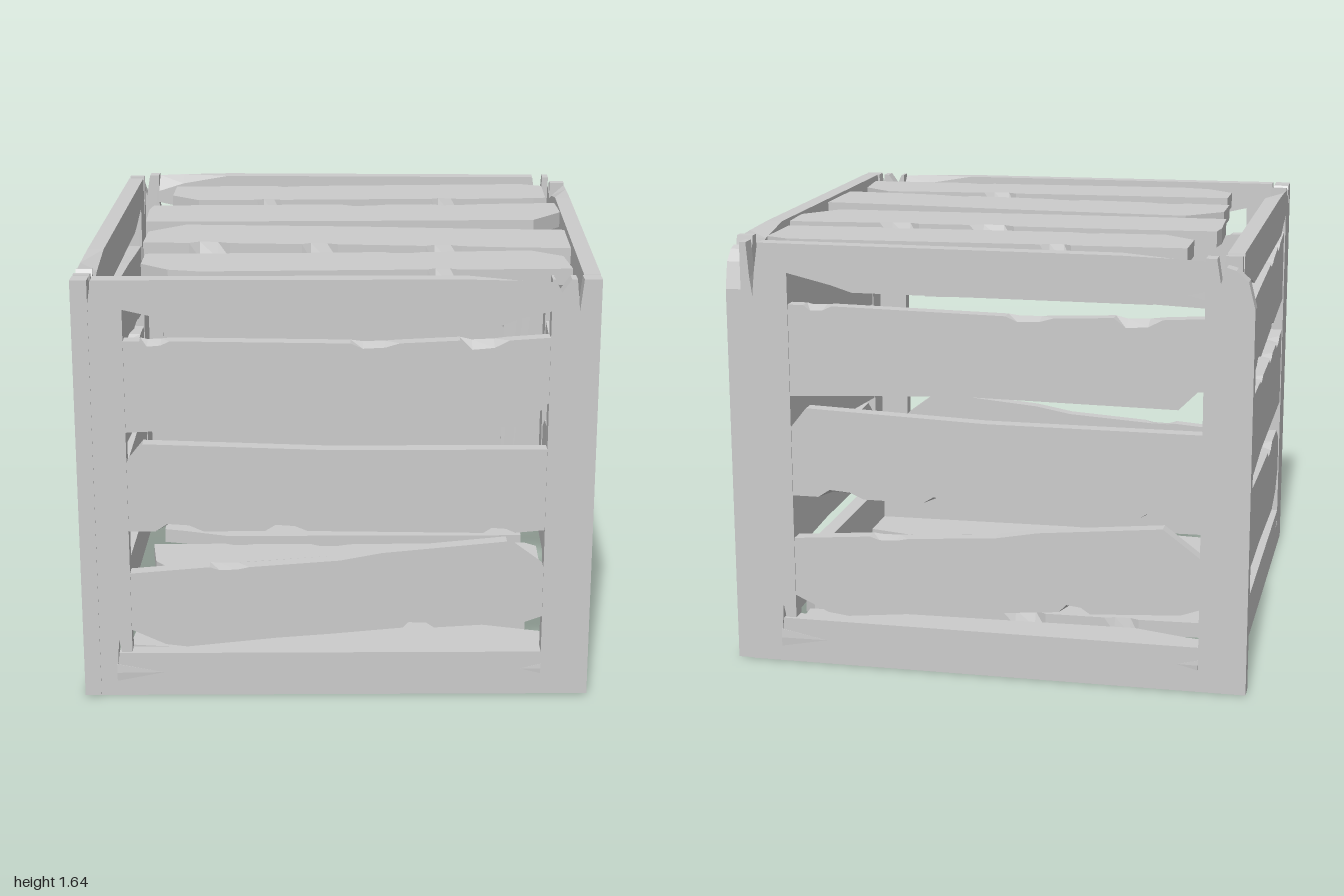
import * as THREE from 'three';

const material = new THREE.MeshStandardMaterial({ color: 0xcccccc, flatShading: true });
const T = 0.062; // board thickness

// Board from an outline of [x, y, backShift]; backShift slants a chipped edge through the thickness
function board(name, points, depth = T) {
  const shape = new THREE.Shape(points.map(([x, y]) => new THREE.Vector2(x, y)));
  const geometry = new THREE.ExtrudeGeometry(shape, { depth, bevelEnabled: false });
  geometry.translate(0, 0, -depth);
  const pos = geometry.attributes.position;
  for (let i = 0; i < pos.count; i++) {
    if (pos.getZ(i) > -depth / 2) continue;
    const hit = points.find(p => p[2] && Math.abs(p[0] - pos.getX(i)) < 1e-4 && Math.abs(p[1] - pos.getY(i)) < 1e-4);
    if (hit) pos.setY(i, pos.getY(i) + hit[2]);
  }
  geometry.computeVertexNormals();
  const mesh = new THREE.Mesh(geometry, material);
  mesh.name = name;
  return mesh;
}

// Small chipped dent along an edge, running from x0 to x1; dir -1 bites down, +1 bites up
function chip(x0, x1, y, size, dir) {
  const w = x1 - x0, d = dir * size;
  return [[x0, y], [x0 + w * 0.25, y + d, -d * 0.7], [x0 + w * 0.7, y + d * 0.8, -d * 0.6], [x1, y]];
}

// Flat splinter lying on a board face
function splinter(x, y, length, width, dir) {
  const geometry = new THREE.ConeGeometry(width / 2, length, 6);
  geometry.scale(1, 1, 0.12);
  geometry.rotateZ(-dir * Math.PI / 2);
  const mesh = new THREE.Mesh(geometry, material);
  mesh.position.set(x + dir * length / 2, y, 0);
  mesh.name = 'splinter';
  return mesh;
}

// Slats between the posts, listed clockwise from the left end
const slatsA = [
  [[-0.75, 1.42], ...chip(-0.69, -0.58, 1.42, 0.02, -1), ...chip(0.08, 0.26, 1.41, 0.02, -1),
    ...chip(0.48, 0.66, 1.42, 0.035, -1), [0.81, 1.43], [0.81, 1.18], [0.72, 1.09], [-0.1, 1.1], [-0.75, 1.07]],
  [[-0.75, 0.95], [-0.69, 1.025], [0, 1], [0.81, 1], [0.81, 0.68], ...chip(0.58, 0.7, 0.67, 0.02, 1).reverse(),
    ...chip(-0.24, -0.08, 0.68, 0.025, 1).reverse(), ...chip(-0.65, -0.47, 0.68, 0.03, 1).reverse(), [-0.75, 0.68]],
  [[-0.75, 0.51], ...chip(-0.45, -0.3, 0.535, 0.012, -1), [0.04, 0.56], [0.2, 0.59], [0.67, 0.635], [0.81, 0.53],
    [0.81, 0.33], [0.74, 0.305], ...chip(0.28, 0.4, 0.285, 0.03, 1).reverse(), [0, 0.26], [-0.2, 0.245],
    [-0.54, 0.21], [-0.62, 0.22, 0.03], [-0.75, 0.28]],
];
const slatsB = [
  [[-0.75, 1.37], [-0.5, 1.385], [-0.3, 1.4], ...chip(0.2, 0.35, 1.42, 0.015, -1), ...chip(0.5, 0.62, 1.44, 0.02, -1),
    [0.79, 1.46], [0.8, 1.16], ...chip(0.3, 0.4, 1.135, 0.015, 1).reverse(),
    ...chip(-0.28, -0.12, 1.105, 0.02, 1).reverse(), ...chip(-0.56, -0.4, 1.085, 0.03, 1).reverse(), [-0.75, 1.07]],
  [[-0.75, 1], ...chip(-0.62, -0.48, 1, 0.02, -1), ...chip(-0.12, 0, 1, 0.015, -1), ...chip(0.25, 0.4, 1.005, 0.02, -1),
    ...chip(0.55, 0.72, 1.01, 0.025, -1), [0.81, 1.02], [0.81, 0.69], [0, 0.69], [-0.75, 0.63]],
  [[-0.75, 0.55], [-0.65, 0.63], [0, 0.6], ...chip(0.3, 0.5, 0.59, 0.03, -1), [0.69, 0.59], [0.8, 0.53],
    [0.81, 0.38], [0.72, 0.3], [0.57, 0.26], [0, 0.285], [-0.55, 0.285], [-0.62, 0.3], [-0.75, 0.33]],
];

// One side: two posts, two rails and three slats, outer face on local z = 0
function sidePanel(name, slats, rounded) {
  const panel = new THREE.Group();
  panel.name = name;
  panel.add(board('leftPost', [[-0.93, 0.01], [-0.93, 1.65], [-0.905, 1.65], [-0.895, 1.52], [-0.885, 1.45],
    [-0.875, 1.55], [-0.86, 1.65], [-0.75, 1.65], [-0.75, 0.19], [-0.79, 0.19], [-0.8, 0.24], [-0.815, 0.01]]));
  const end = rounded
    ? [[0.85, 1.65], [0.865, 1.56], [0.885, 1.62], [0.92, 1.61], [0.965, 1.57], [0.99, 1.47]]
    : [[0.82, 1.65], [0.845, 1.6], [0.88, 1.65], [0.9, 1.65], [0.912, 1.53], [0.925, 1.65], [0.99, 1.65]];
  panel.add(board('rightPost', [[0.81, 0.01], [0.81, 1.65], ...end, [0.99, 0.01]]));
  panel.add(board('topRail', [[-0.75, 1.54], [-0.75, 1.65], [0.5, 1.65], [0.7, 1.645, -0.03], [0.81, 1.64, -0.06],
    [0.81, 1.53], [0.7, 1.505], [0.62, 1.475], [-0.5, 1.475, 0.01], [-0.58, 1.5]]));
  panel.add(board('bottomRail', [[-0.82, 0.01], [-0.8, 0.185], [0.81, 0.185], [0.81, 0.01]]));
  panel.add(splinter(-0.81, 0.105, 0.18, 0.08, 1), splinter(0.81, 0.115, 0.08, 0.045, -1));
  slats.forEach((points, i) => {
    const slat = board('slat' + (i + 1), points, T - 0.008);
    slat.position.z = -0.004;
    panel.add(slat);
  });
  return panel;
}

// Horizontal planks, listed as [x, -z]
const lidPlanks = [
  [[-0.71, 0.74], ...chip(-0.28, -0.16, 0.765, 0.02, -1), [0.8, 0.83], [0.89, 0.79], [0.89, 0.54], [0.84, 0.53],
    ...chip(0.4, 0.52, 0.505, 0.015, 1).reverse(), ...chip(-0.34, -0.24, 0.47, 0.015, 1).reverse(), [-0.59, 0.455], [-0.71, 0.55]],
  [[-0.78, 0.26], [-0.77, 0.34], [-0.5, 0.36], ...chip(0.02, 0.2, 0.38, 0.025, -1), ...chip(0.4, 0.56, 0.395, 0.02, -1),
    [0.75, 0.42], [0.92, 0.43], [0.93, 0.25], [0.81, 0.1], [0, 0.06], [-0.77, 0.03]],
  [[-0.74, -0.15], [-0.6, -0.02], [0.1, -0.04], [0.6, -0.07], [0.92, -0.08], [0.92, -0.4], [0.66, -0.39],
    ...chip(0.36, 0.5, -0.375, 0.02, 1).reverse(), ...chip(-0.12, 0.02, -0.355, 0.02, 1).reverse(),
    ...chip(-0.56, -0.4, -0.345, 0.025, 1).reverse(), [-0.74, -0.34]],
  [[-0.71, -0.53], [0, -0.495], ...chip(0.2, 0.34, -0.48, 0.02, -1), [0.76, -0.44], [0.88, -0.53], [0.9, -0.73],
    ...chip(0.36, 0.48, -0.755, 0.02, 1).reverse(), [-0.48, -0.805], [-0.6, -0.78], [-0.71, -0.69]],
];
const floorPlanks = [
  [[-0.79, 0.62], [-0.79, 0.83], [-0.7, 0.86], [-0.56, 0.89], [0.82, 0.82], [0.83, 0.58], [-0.5, 0.54], [-0.7, 0.6]],
  [[-0.79, 0.23], [-0.82, 0.43], ...chip(-0.5, -0.36, 0.445, 0.015, -1), ...chip(-0.12, 0.06, 0.45, 0.025, -1),
    ...chip(0.5, 0.64, 0.475, 0.02, -1), [0.84, 0.49], [0.89, 0.45], [0.89, 0.17], [0.2, 0.12], [-0.7, 0.12]],
  [[-0.87, -0.26], [-0.86, 0.06], [-0.3, 0.04], [0.73, -0.01], [0.79, -0.07], [0.79, -0.33], [0, -0.31], [-0.74, -0.27]],
  [[-0.8, -0.66], [-0.79, -0.52], [-0.66, -0.365], ...chip(-0.4, -0.28, -0.385, 0.02, -1),
    ...chip(0, 0.16, -0.405, 0.025, -1), [0.6, -0.43], [0.88, -0.5], [0.88, -0.7], [0, -0.72], [-0.7, -0.67]],
];

function planks(name, list, topY) {
  const group = new THREE.Group();
  group.name = name;
  list.forEach((points, i) => group.add(board(name + 'Plank' + (i + 1), points)));
  group.rotation.x = -Math.PI / 2;
  group.position.y = topY;
  return group;
}

export function createModel() {
  const model = new THREE.Group();
  model.name = 'brokenCrate';

  // Four sides in a pinwheel; the front one has come slightly askew
  const sides = [
    ['frontPanel', slatsA, false, 0, 0.96, 0.032],
    ['rightPanel', slatsB, true, 0.99, 0, Math.PI / 2],
    ['backPanel', slatsA, true, 0, -0.995, Math.PI],
    ['leftPanel', slatsB, false, -0.935, 0, -Math.PI / 2],
  ];
  for (const [name, slats, rounded, x, z, turn] of sides) {
    const panel = sidePanel(name, slats, rounded);
    panel.position.set(x, 0, z);
    panel.rotation.y = turn;
    model.add(panel);
  }

  // Loose planks of lid and floor
  model.add(planks('lid', lidPlanks, 1.64), planks('floor', floorPlanks, 0.075));
  return model;
}
